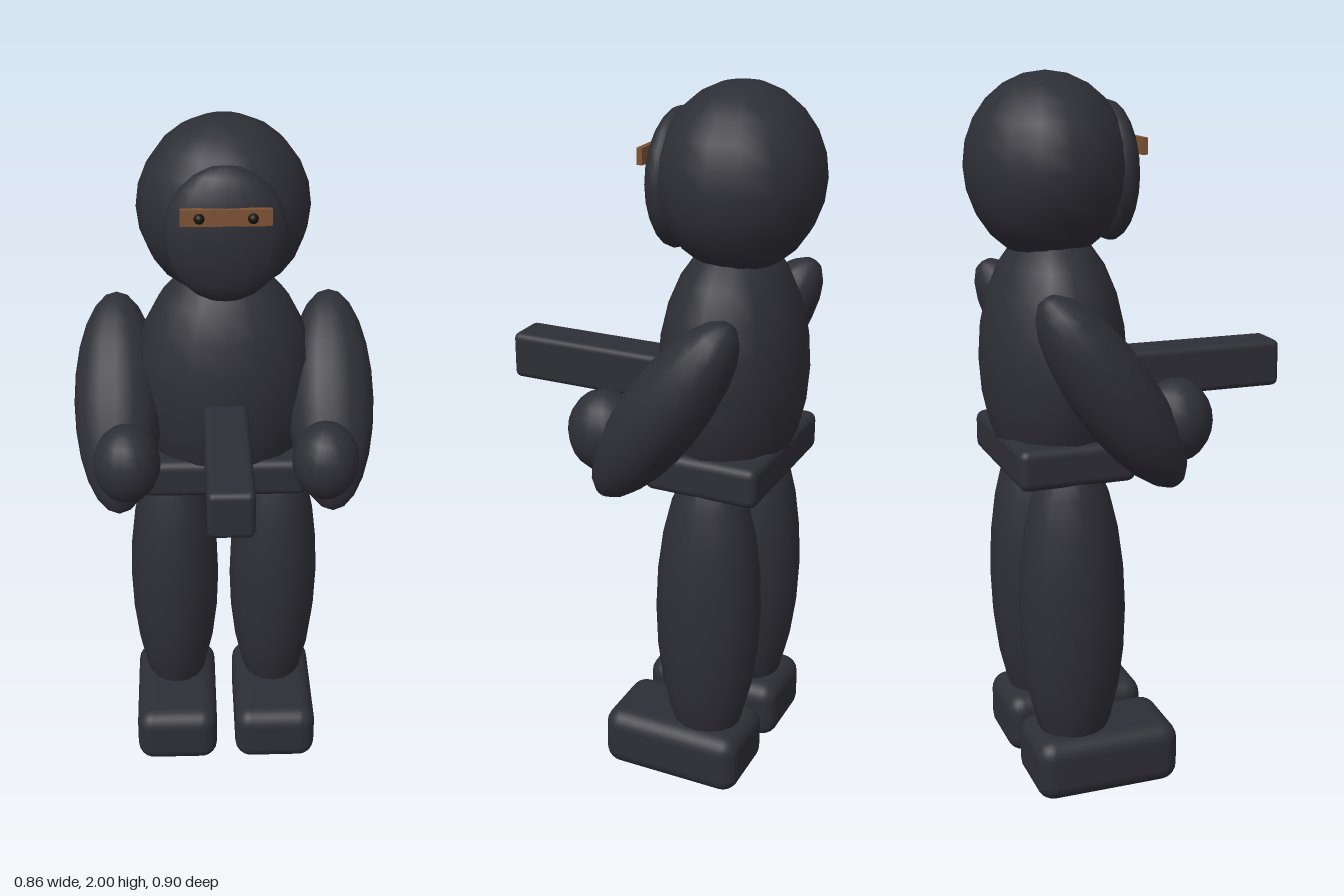
import * as THREE from 'three';
import { RoundedBoxGeometry } from 'three/addons/geometries/RoundedBoxGeometry.js';

const material = (name, color) => {
  const m = new THREE.MeshStandardMaterial({ color });
  m.name = name;
  return m;
};

export function createModel() {
  const cloth = material('charcoal cloth', 0x2e2e36);
  const skin = material('tan skin', 0x7d5334);
  const pupil = material('black eye', 0x15130f);
  const model = new THREE.Group();
  model.name = 'figure';

  const add = (name, geometry, mat, position) => {
    const mesh = new THREE.Mesh(geometry, mat);
    mesh.name = name;
    mesh.position.set(...position);
    model.add(mesh);
    return mesh;
  };

  // Smooth sphere stretched to the given radii
  const ellipsoid = (name, radii, position, mat = cloth) =>
    add(name, new THREE.SphereGeometry(1, 16, 12).scale(...radii), mat, position);

  const roundedBox = (name, size, radius, position, mat = cloth) =>
    add(name, new RoundedBoxGeometry(...size, 3, radius), mat, position);

  // Head, face mask and eye slit
  ellipsoid('head', [0.24, 0.25, 0.225], [0, 1.75, -0.228]);
  ellipsoid('faceMask', [0.166, 0.189, 0.07], [0, 1.732, -0.054]);
  add('eyeSlit', new THREE.BoxGeometry(0.24, 0.045, 0.016), skin, [0, 1.804, 0.008]);

  // Body and belt
  ellipsoid('torso', [0.26, 0.38, 0.2], [0, 1.22, -0.22]);
  roundedBox('belt', [0.48, 0.115, 0.33], 0.025, [0, 0.973, -0.22]);

  // Bar held out in front of the belly
  roundedBox('heldBar', [0.125, 0.135, 0.5], 0.018, [0, 1.167, 0.2]);

  // Mirrored limbs and eyes
  for (const [side, s] of [['left', 1], ['right', -1]]) {
    ellipsoid(side + 'Eye', [0.014, 0.014, 0.014], [s * 0.07, 1.803, 0.017], pupil);
    const arm = ellipsoid(side + 'Arm', [0.125, 0.322, 0.112], [s * 0.307, 1.187, -0.15]);
    arm.rotation.x = -0.606;
    ellipsoid(side + 'Hand', [0.095, 0.115, 0.1], [s * 0.28, 1.092, 0.038]);
    ellipsoid(side + 'Leg', [0.136, 0.48, 0.151], [s * 0.154, 0.54, -0.22]);
    roundedBox(side + 'Foot', [0.25, 0.18, 0.42], 0.05, [s * 0.154, 0.09, -0.145]);
  }
  return model;
}
